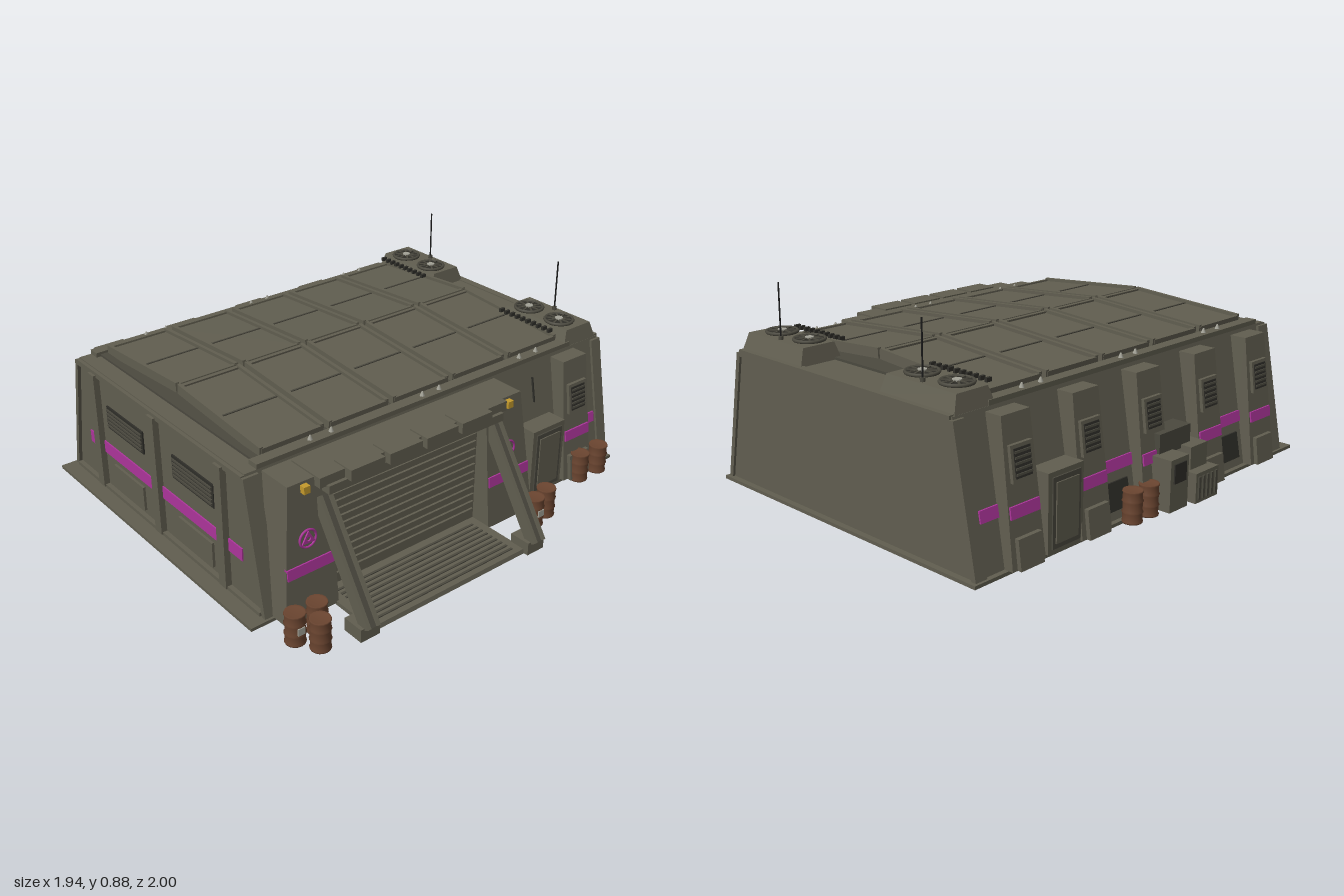
import * as THREE from 'three';

const mat = (name, color, side = THREE.FrontSide) => {
  const m = new THREE.MeshStandardMaterial({ color, side });
  m.name = name;
  return m;
};

export function createModel() {
  const root = new THREE.Group();
  root.name = 'bunker';
  const hull = mat('hull grey', 0x615e50), dark = mat('vent dark', 0x2f2e29), purple = mat('purple paint', 0xad359b),
    brown = mat('barrel brown', 0x6b4530), yellow = mat('warning yellow', 0xc49a2c), light = mat('light metal', 0xa3a297),
    black = mat('antenna black', 0x1b1b1b), trim = mat('trim grey', 0x4b493f);

  const add = (name, geo, m, parent = root) => {
    const mesh = new THREE.Mesh(geo, m);
    mesh.name = name;
    parent.add(mesh);
    return mesh;
  };
  const box = (name, m, x0, x1, y0, y1, z0, z1, parent) => {
    const b = add(name, new THREE.BoxGeometry(Math.abs(x1 - x0), y1 - y0, z1 - z0), m, parent);
    b.position.set((x0 + x1) / 2, (y0 + y1) / 2, (z0 + z1) / 2);
    return b;
  };
  // Tapered block: lower and upper rectangles given as [x0, x1, z0, z1]
  const taper = (name, m, y0, y1, lo, hi) => {
    const g = new THREE.BoxGeometry(1, 1, 1), p = g.attributes.position;
    for (let i = 0; i < p.count; i++) {
      const r = p.getY(i) > 0 ? hi : lo;
      const xs = [Math.min(r[0], r[1]), Math.max(r[0], r[1])];
      p.setXYZ(i, xs[p.getX(i) > 0 ? 1 : 0], p.getY(i) > 0 ? y1 : y0, r[p.getZ(i) > 0 ? 3 : 2]);
    }
    g.computeVertexNormals();
    return add(name, g, m);
  };
  const cyl = (name, m, r, h, x, y, z, seg = 16, parent = root, rTop = r) => {
    const c = add(name, new THREE.CylinderGeometry(rTop, r, h, seg), m, parent);
    c.position.set(x, y, z);
    return c;
  };
  const MID = -0.11;
  const mx = (s, x) => (s > 0 ? x : 2 * MID - x);
  // Sloping outer surfaces as x for a given height, on the +x side
  const wall = y => 0.62 - (y - 0.01) * 0.19;
  const buttress = y => 0.66 - (y - 0.01) * 0.13;
  const porch = y => 0.715 - (y - 0.02) * 0.09;
  const onSlope = (name, m, f, s, y0, y1, z0, z1, t) => taper(name, m, y0, y1,
    [mx(s, f(y0) - 0.012), mx(s, f(y0) + t), z0, z1], [mx(s, f(y1) - 0.012), mx(s, f(y1) + t), z0, z1]);

  // Ground plate and hull
  box('basePlate', hull, -0.86, 0.64, 0, 0.014, -1, 1);
  taper('hull', hull, 0.01, 0.58, [-0.84, 0.62, -0.975, 0.915], [-0.73, 0.51, -0.975, 0.915]);
  box('roofDeck', trim, -0.7, 0.48, 0.575, 0.59, -0.8, 0.84);
  for (const s of [1, -1]) {
    box('roofEdge', hull, mx(s, 0.46), mx(s, 0.51), 0.57, 0.6, -0.8, 0.86);
    onSlope('frontCorner', hull, wall, s, 0.014, 0.57, 0.86, 0.93, 0.01);
    onSlope('rearCorner', hull, wall, s, 0.014, 0.57, -0.985, -0.93, 0.01);
  }
  box('rearTopRail', hull, -0.725, 0.505, 0.555, 0.585, -0.985, -0.95);

  // Front wall
  box('frontTopRail', hull, -0.73, 0.51, 0.55, 0.575, 0.86, 0.93);
  box('frontSill', hull, -0.82, 0.6, 0.014, 0.03, 0.9, 0.935);
  box('frontStripe', purple, -0.69, 0.48, 0.19, 0.245, 0.912, 0.921);
  for (const x of [-0.59, MID, 0.365]) box('frontPilaster', hull, x - 0.024, x + 0.024, 0.02, 0.56, 0.9, 0.942);
  for (const x of [-0.365, 0.155]) {
    box('frontVent', dark, x - 0.147, x + 0.147, 0.333, 0.437, 0.91, 0.922);
    for (let i = 0; i < 5; i++) box('ventSlat', trim, x - 0.14, x + 0.14, 0.345 + i * 0.018, 0.353 + i * 0.018, 0.915, 0.928);
    box('frontHatch', hull, x - 0.122, x + 0.122, 0.052, 0.163, 0.91, 0.926);
  }

  // Pitched roof panels with raised rims
  for (const s of [1, -1]) {
    for (let r = 0; r < 5; r++) {
      const panel = new THREE.Group();
      panel.name = 'roofPanel';
      panel.position.set(mx(s, 0.175), 0.622, -0.62 + r * 0.32);
      panel.rotation.z = -s * 0.07;
      root.add(panel);
      box('panelSlab', hull, -0.28, 0.28, -0.018, 0.008, -0.147, 0.147, panel);
      for (const e of [1, -1]) {
        box('panelRim', hull, -0.28, 0.28, -0.02, 0.022, e * 0.14 - 0.008, e * 0.14 + 0.008, panel);
        box('panelEnd', hull, e * 0.274 - 0.008, e * 0.274 + 0.008, -0.02, 0.016, -0.14, 0.14, panel);
      }
      box('panelSeam', trim, -0.004, 0.004, 0.006, 0.012, -0.132, 0.132, panel);
    }
    for (const z of [-0.61, -0.51, -0.05, 0.04, 0.5, 0.6]) cyl('roofHook', light, 0.014, 0.026, mx(s, 0.485), 0.606, z, 6, root, 0.003);
    for (let i = 0; i < 10; i++) box('drainTooth', dark, mx(s, 0.15 + i * 0.032), mx(s, 0.162 + i * 0.032), 0.64, 0.656, -0.75, -0.725);

    // Fan housings and antennas
    taper('fanHousing', hull, 0.575, 0.65, [mx(s, 0.12), mx(s, 0.51), -0.965, -0.765], [mx(s, 0.135), mx(s, 0.495), -0.94, -0.79]);
    for (const x of [0.22, 0.4]) {
      const fan = new THREE.Group();
      fan.name = 'roofFan';
      fan.position.set(mx(s, x), 0.65, -0.845);
      root.add(fan);
      cyl('fanWell', dark, 0.062, 0.01, 0, 0.003, 0, 24, fan);
      const ring = add('fanRing', new THREE.TorusGeometry(0.062, 0.007, 6, 24), trim, fan);
      ring.rotation.x = Math.PI / 2;
      ring.position.y = 0.006;
      cyl('fanHub', light, 0.018, 0.012, 0, 0.009, 0, 12, fan);
      for (let i = 0; i < 10; i++) {
        const blade = add('fanBlade', new THREE.BoxGeometry(0.04, 0.003, 0.008).translate(0.036, 0.01, 0), trim, fan);
        blade.rotation.y = i * Math.PI / 5;
      }
    }
    cyl('antenna', black, 0.0035, 0.24, mx(s, 0.305), 0.76, -0.92, 6);
    cyl('antennaFoot', trim, 0.01, 0.02, mx(s, 0.305), 0.655, -0.92, 8);
  }

  // Side buttresses, stripes and doors
  const addButtress = (s, z) => {
    taper('buttress', hull, 0.014, 0.565, [mx(s, 0.56), mx(s, buttress(0.014)), z - 0.085, z + 0.085],
      [mx(s, 0.5), mx(s, buttress(0.565)), z - 0.072, z + 0.072]);
    onSlope('buttressFoot', hull, buttress, s, 0.014, 0.13, z - 0.06, z + 0.06, 0.018);
    onSlope('buttressStripe', purple, buttress, s, 0.2, 0.245, z - 0.074, z + 0.074, 0.007);
    onSlope('ventFrame', hull, buttress, s, 0.325, 0.46, z - 0.055, z + 0.055, 0.014);
    onSlope('ventGrille', dark, buttress, s, 0.34, 0.447, z - 0.042, z + 0.042, 0.017);
    for (let i = 0; i < 5; i++) onSlope('ventSlat', trim, buttress, s, 0.35 + i * 0.02, 0.358 + i * 0.02, z - 0.04, z + 0.04, 0.021);
  };
  const addDoor = (s, z) => {
    box('doorFrame', hull, mx(s, 0.54), mx(s, 0.65), 0.014, 0.325, z - 0.095, z + 0.095);
    box('doorLeaf', trim, mx(s, 0.64), mx(s, 0.656), 0.03, 0.305, z - 0.075, z + 0.075);
    box('doorInset', hull, mx(s, 0.65), mx(s, 0.661), 0.05, 0.285, z - 0.06, z + 0.06);
  };
  for (const z of [-0.75, -0.38, -0.01, 0.365, 0.735]) addButtress(-1, z);
  addButtress(1, -0.75);
  onSlope('leftStripe', purple, wall, 1, 0.2, 0.245, -0.92, -0.38, 0.006);
  onSlope('rightStripe', purple, wall, -1, 0.2, 0.245, -0.92, 0.86, 0.006);
  for (const s of [1, -1]) addDoor(s, -0.55);
  onSlope('wallSlot', dark, wall, 1, 0.4, 0.51, -0.558, -0.552, 0.006);
  for (const z of [-0.2, 0.18, 0.55]) onSlope('wallVent', dark, wall, -1, 0.05, 0.16, z - 0.07, z + 0.07, 0.006);

  // Vehicle entrance: side piers, lintel, shutter
  taper('entrancePier', hull, 0.014, 0.57, [0.5, porch(0.014), 0.65, 0.895], [0.48, porch(0.57), 0.65, 0.84]);
  taper('entrancePier', hull, 0.014, 0.57, [0.5, porch(0.014), -0.395, -0.14], [0.48, porch(0.57), -0.335, -0.14]);
  box('lintel', hull, 0.5, 0.665, 0.5, 0.57, -0.15, 0.66);
  box('shutter', hull, 0.5, 0.622, 0.014, 0.5, -0.14, 0.65);
  for (let i = 0; i < 12; i++) box('shutterRib', hull, 0.62, 0.632, 0.05 + i * 0.036, 0.074 + i * 0.036, -0.13, 0.64);
  box('warningStrip', dark, 0.66, 0.668, 0.473, 0.503, -0.13, 0.64);
  for (let i = 0; i < 9; i++) {
    const z = -0.1 + i * 0.084;
    const st = add('warningStripe', new THREE.BoxGeometry(0.004, 0.022, 0.052), yellow);
    const p = st.geometry.attributes.position;
    for (let k = 0; k < p.count; k++) p.setZ(k, p.getZ(k) + p.getY(k) * 0.7);
    st.position.set(0.669, 0.488, z);
  }
  const emblem = new THREE.Shape();
  for (let i = 0; i < 3; i++) emblem[i ? 'lineTo' : 'moveTo'](0.034 * Math.sin(i * 2.094), 0.034 * Math.cos(i * 2.094));
  emblem.holes.push(new THREE.Path().absarc(0, 0, 0.009, 0, Math.PI * 2));
  for (const z of [0.77, -0.255]) {
    const g = new THREE.Group();
    g.name = 'entranceBadge';
    g.position.set(porch(0.34) + 0.003, 0.34, z);
    g.rotation.set(0, Math.PI / 2, 0);
    root.add(g);
    add('badgeRing', new THREE.TorusGeometry(0.037, 0.005, 6, 24), purple, g);
    add('badgeTriangle', new THREE.ExtrudeGeometry(emblem, { depth: 0.006, bevelEnabled: false }), purple, g);
    const d = z > 0 ? [0.655, 0.873] : [-0.372, -0.145];
    onSlope('pierStripe', purple, porch, 1, 0.2, 0.245, d[0], d[1], 0.006);
    box('lamp', yellow, 0.655, 0.692, 0.53, 0.56, z - 0.014, z + 0.014);
  }

  // Awning with raised blocks
  box('awning', hull, 0.53, 0.7, 0.535, 0.577, -0.22, 0.72);
  box('awningLip', hull, 0.66, 0.715, 0.505, 0.54, -0.19, 0.69);
  for (const z of [-0.025, 0.157, 0.34, 0.525]) box('awningBlock', hull, 0.635, 0.735, 0.538, 0.583, z - 0.08, z + 0.08);

  // Ramp, struts and feet
  taper('ramp', hull, 0.004, 0.022, [0.6, 0.925, -0.14, 0.66], [0.6, 0.92, -0.14, 0.66]);
  for (let i = 0; i < 9; i++) box('rampTread', trim, 0.66 + i * 0.028, 0.67 + i * 0.028, 0.02, 0.026, -0.1, 0.62);
  for (const z of [-0.18, 0.685]) {
    const a = new THREE.Vector2(0.665, 0.48), b = new THREE.Vector2(0.945, 0.05);
    const strut = new THREE.Group();
    strut.name = 'strut';
    strut.position.set((a.x + b.x) / 2, (a.y + b.y) / 2, z);
    strut.rotation.z = Math.atan2(b.y - a.y, b.x - a.x);
    root.add(strut);
    const h = a.distanceTo(b) / 2;
    box('strutCore', trim, -h, h, -0.018, 0.018, -0.016, 0.016, strut);
    for (const e of [1, -1]) box('strutRail', hull, -h, h, -0.026, 0.026, e * 0.022 - 0.008, e * 0.022 + 0.008, strut);
    box('strutFoot', hull, 0.85, 0.945, 0.004, 0.06, z - 0.045, z + 0.045);
  }

  // Machinery on the right wall
  box('generator', hull, -0.965, -0.8, 0.014, 0.14, 0.12, 0.27);
  box('generatorTop', hull, -0.92, -0.78, 0.14, 0.235, 0.14, 0.25);
  for (let i = 0; i < 5; i++) box('generatorFin', trim, -0.972, -0.96, 0.03, 0.125, 0.132 + i * 0.028, 0.144 + i * 0.028);
  box('controlBox', hull, -0.95, -0.83, 0.014, 0.23, -0.03, 0.085);
  box('controlPanel', dark, -0.956, -0.95, 0.13, 0.21, -0.01, 0.065);
  box('pipeBox', trim, -0.87, -0.78, 0.22, 0.31, 0.0, 0.2);

  // Barrels
  const profile = [[0, 0], [0.04, 0], [0.042, 0.006], [0.039, 0.01], [0.039, 0.04], [0.043, 0.044], [0.039, 0.048],
    [0.039, 0.084], [0.043, 0.088], [0.039, 0.092], [0.039, 0.122], [0.042, 0.126], [0.04, 0.132], [0.036, 0.127], [0, 0.127]];
  const barrel = new THREE.LatheGeometry(profile.map(p => new THREE.Vector2(...p)), 16);
  const spots = [[0.79, 0.81], [0.79, 0.91], [0.875, 0.86], [0.78, -0.41], [0.8, -0.32], [0.675, -0.86], [0.675, -0.74], [-0.885, -0.18], [-0.885, -0.08]];
  spots.forEach(([x, z], i) => {
    add('barrel', barrel, brown).position.set(x, 0.008, z);
    if (i === 1 || i === 4) box('barrelLabel', light, x + 0.034, x + 0.042, 0.06, 0.09, z - 0.015, z + 0.015);
  });
  return root;
}
